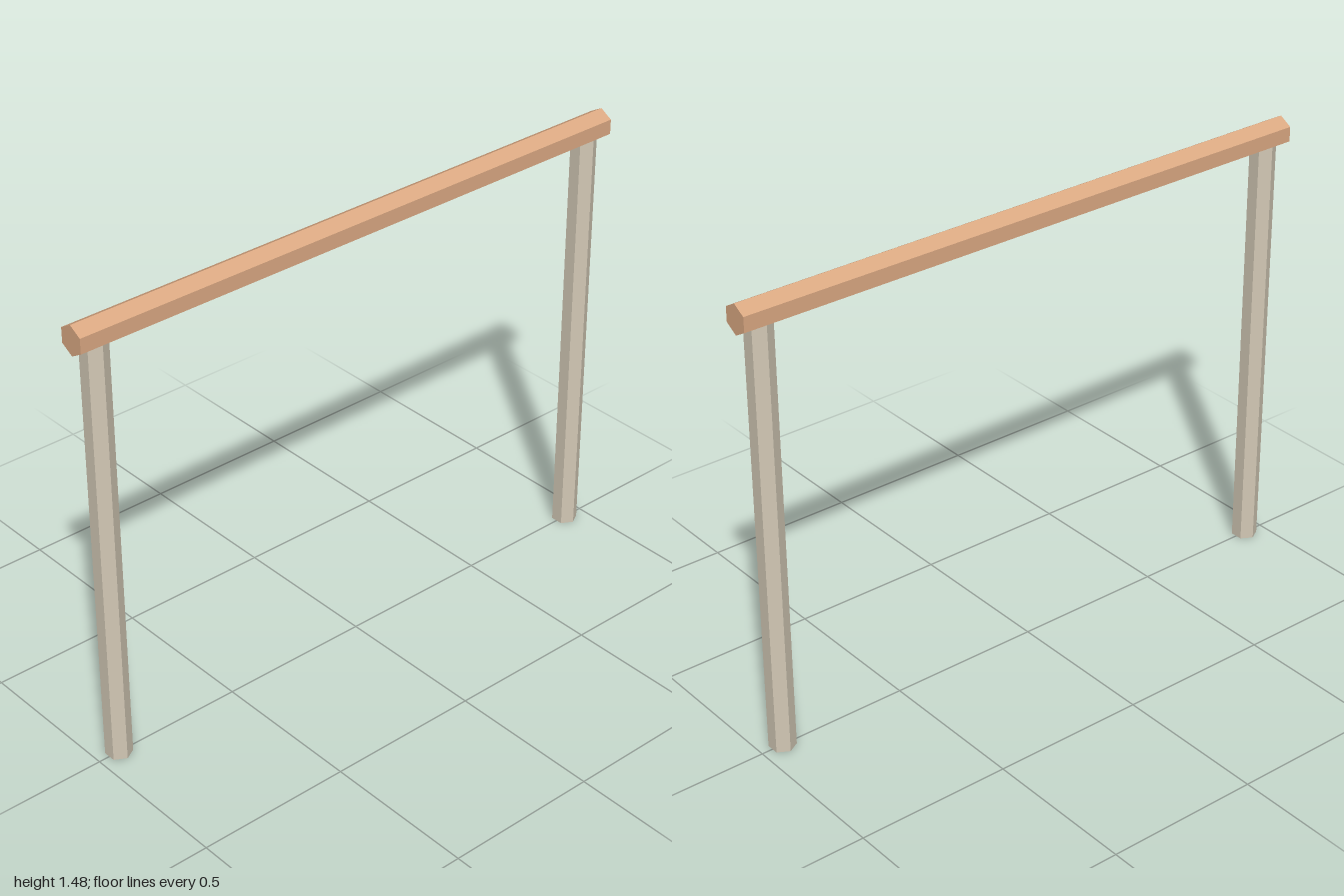
import * as THREE from 'three';

const wood = new THREE.MeshStandardMaterial({ color: 0xdaa882, flatShading: true });
wood.name = 'warm wood';
const stone = new THREE.MeshStandardMaterial({ color: 0xd2c8b5, flatShading: true });
stone.name = 'pale post';

const BEAM_RADIUS = 0.048, BEAM_Y = 1.428;
const POST_RADIUS = 0.0415, POST_HEIGHT = 1.404, POST_X = 0.928;

// Six-sided bar along y with corners on +z and -z
const hexBar = (radius, length) => new THREE.CylinderGeometry(radius, radius, length, 6);

export function createModel() {
  const model = new THREE.Group();
  model.name = 'postAndBeamFrame';

  // Beam lies along x with a corner ridge on top
  const beamGeometry = hexBar(BEAM_RADIUS, 2).rotateY(Math.PI / 2).rotateZ(Math.PI / 2);
  const beam = new THREE.Mesh(beamGeometry, wood);
  beam.name = 'crossBeam';
  beam.position.y = BEAM_Y;
  model.add(beam);

  // Mirrored posts, tops tucked into the beam
  for (const side of [-1, 1]) {
    const post = new THREE.Mesh(hexBar(POST_RADIUS, POST_HEIGHT), stone);
    post.name = side > 0 ? 'leftPost' : 'rightPost';
    post.position.set(side * POST_X, POST_HEIGHT / 2, 0);
    model.add(post);
  }
  return model;
}
